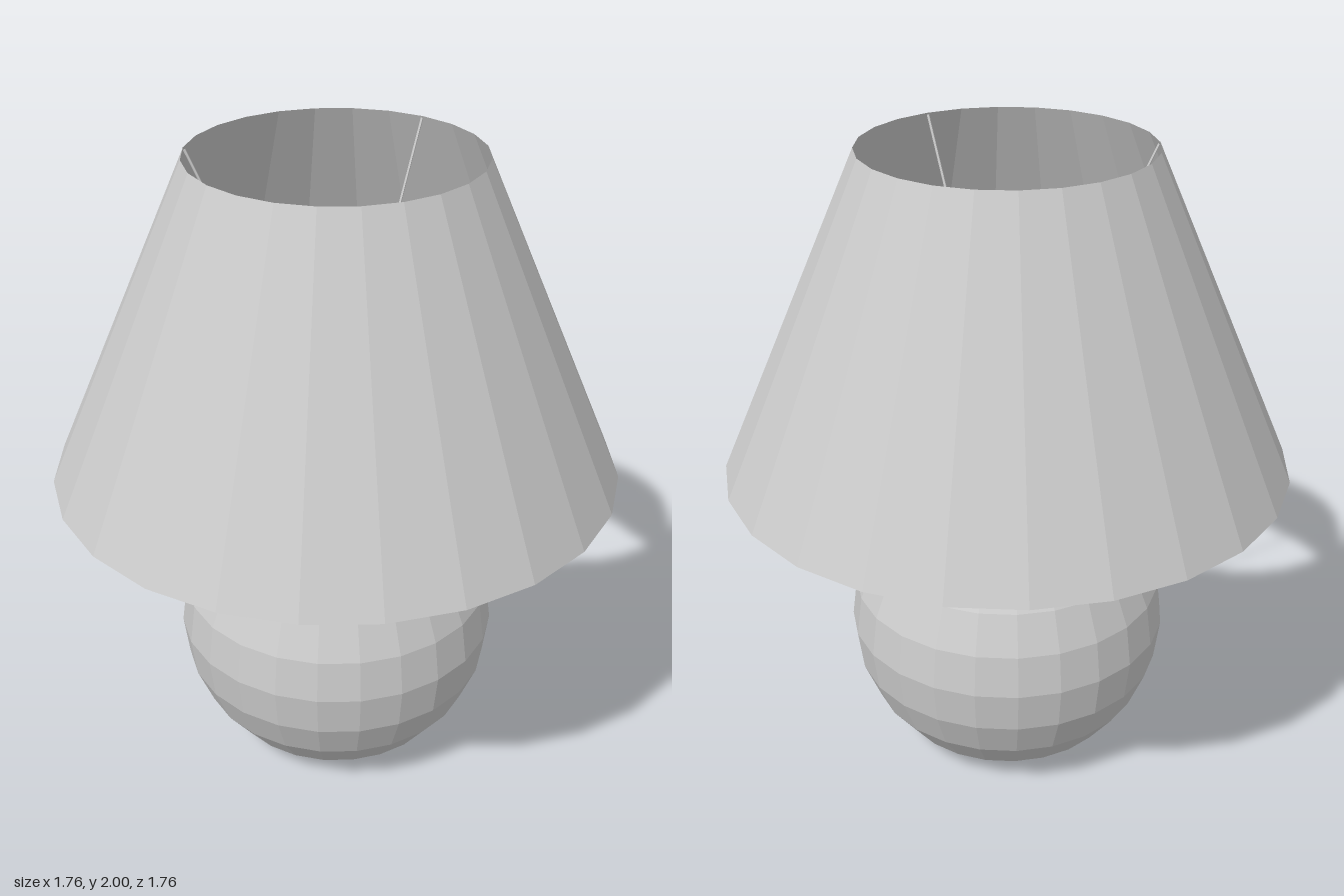
import * as THREE from 'three';

const SIDES = 24;

export function createModel() {
  const lamp = new THREE.Group();
  lamp.name = 'tableLamp';
  const solid = new THREE.MeshStandardMaterial({ color: 0xcccccc, flatShading: true });
  const thin = solid.clone();
  thin.side = THREE.DoubleSide;

  const add = (name, geometry, material = solid) => {
    const mesh = new THREE.Mesh(geometry, material);
    mesh.name = name;
    lamp.add(mesh);
    return mesh;
  };
  // Profiles run from bottom to top as [radius, height]
  const lathe = (points) =>
    new THREE.LatheGeometry(points.map(([r, y]) => new THREE.Vector2(r, y)), SIDES);

  // Ball base, cut flat at the bottom and just below the top
  const ballRadius = 0.51;
  const ballCentre = ballRadius * Math.cos(Math.PI / 6);
  const ball = [[0, 0]];
  for (let deg = 150; deg >= 15; deg -= 15) {
    const a = THREE.MathUtils.degToRad(deg);
    ball.push([ballRadius * Math.sin(a), ballCentre + ballRadius * Math.cos(a)]);
  }
  ball.push([0, ball[ball.length - 1][1]]);
  add('ballBase', lathe(ball));

  // Cap plate on the ball and the stem rising from it
  add('capPlate', new THREE.CylinderGeometry(0.135, 0.135, 0.016, SIDES)).position.y = 0.944;
  add('stem', new THREE.CylinderGeometry(0.02, 0.02, 0.24, 12)).position.y = 1.06;

  // Bulb socket with rounded underside
  add('socket', lathe([
    [0, 1.15], [0.035, 1.15], [0.06, 1.175], [0.077, 1.22], [0.077, 1.37], [0, 1.37],
  ]));
  add('socketFlange', new THREE.CylinderGeometry(0.12, 0.12, 0.012, SIDES)).position.y = 1.29;

  // Open conical shade
  add('shade', new THREE.CylinderGeometry(0.44, 0.88, 1, SIDES, 1, true), thin).position.y = 1.5;

  // Three wires from the flange to the top rim of the shade
  for (const deg of [60, 180, 300]) {
    const a = THREE.MathUtils.degToRad(deg);
    const at = (r, y) => new THREE.Vector3(r * Math.cos(a), y, r * Math.sin(a));
    const path = new THREE.LineCurve3(at(0.115, 1.29), at(0.437, 1.995));
    add('shadeWire', new THREE.TubeGeometry(path, 1, 0.004, 6));
  }

  return lamp;
}
